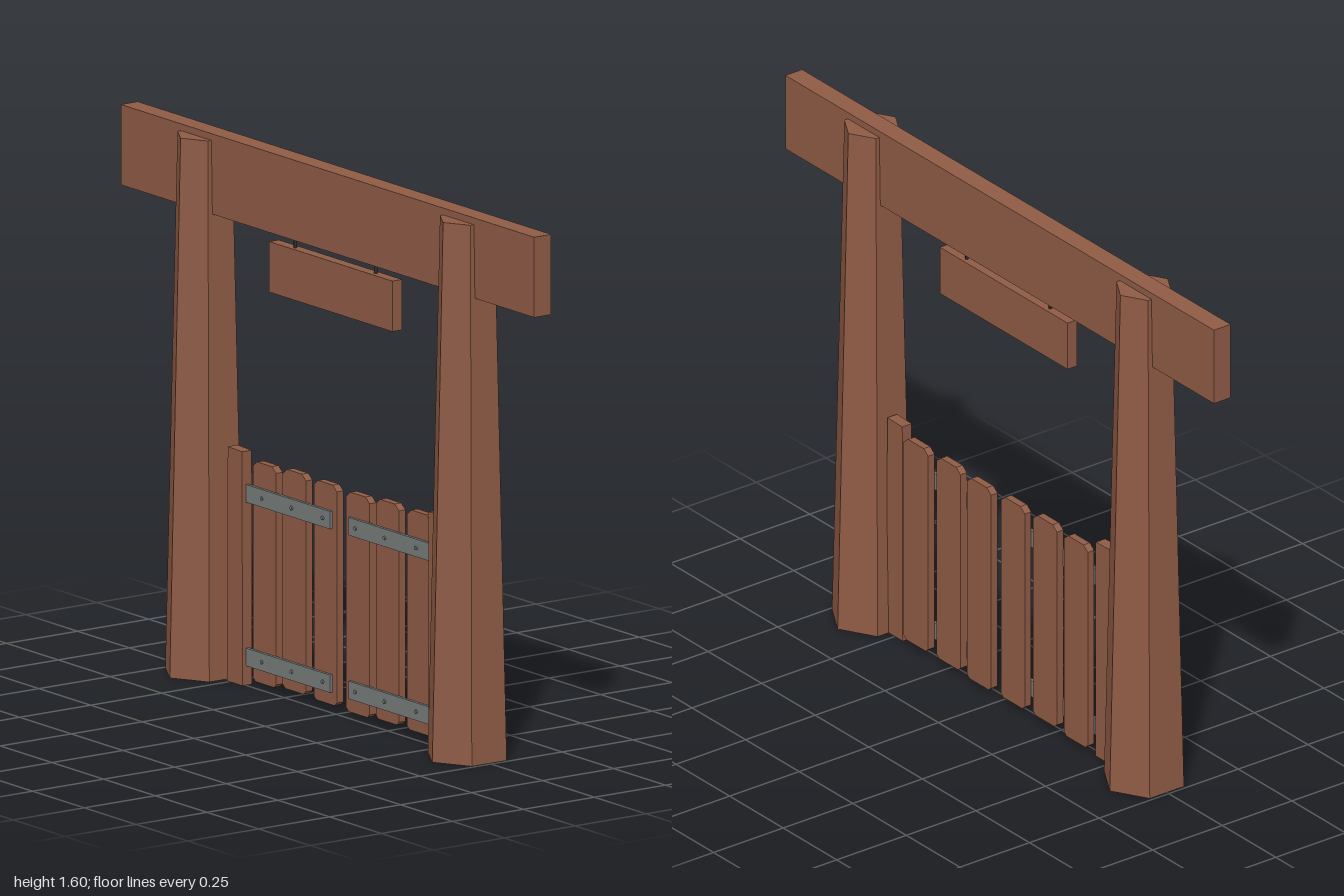
import * as THREE from 'three';

const wood = new THREE.MeshStandardMaterial({ name: 'wood', color: 0x8f5b45 });
const woodOpen = new THREE.MeshStandardMaterial({ name: 'wood', color: 0x8f5b45, side: THREE.DoubleSide });
const iron = new THREE.MeshStandardMaterial({ name: 'iron', color: 0x757c7b });
const dark = new THREE.MeshStandardMaterial({ name: 'darkMetal', color: 0x2b2b2b });

function add(parent, name, geometry, material, x = 0, y = 0, z = 0) {
  const mesh = new THREE.Mesh(geometry, material);
  mesh.name = name;
  mesh.position.set(x, y, z);
  parent.add(mesh);
  return mesh;
}

// Box given by its limits on each axis
function box(parent, name, material, [x0, x1], [y0, y1], [z0, z1]) {
  return add(parent, name, new THREE.BoxGeometry(x1 - x0, y1 - y0, z1 - z0), material,
    (x0 + x1) / 2, (y0 + y1) / 2, (z0 + z1) / 2);
}

// Flat outline extruded between two depths
function slab(parent, name, points, z0, z1) {
  const shape = new THREE.Shape(points.map(([x, y]) => new THREE.Vector2(x, y)));
  const geometry = new THREE.ExtrudeGeometry(shape, { depth: z1 - z0, bevelEnabled: false });
  return add(parent, name, geometry, wood, 0, 0, z0);
}

export function createModel() {
  const model = new THREE.Group();
  model.name = 'gateway';

  // Tapered hexagonal posts, hollow at the foot and capped on top
  const postHeight = 1.575;
  for (const [name, x] of [['leftPost', 0.635], ['rightPost', -0.635]]) {
    const post = new THREE.Group();
    post.name = name;
    post.position.x = x;
    model.add(post);
    const shaft = new THREE.CylinderGeometry(0.085, 0.123, postHeight, 6, 1, true).toNonIndexed();
    shaft.computeVertexNormals();
    add(post, 'shaft', shaft, woodOpen, 0, postHeight / 2, 0);
    const cap = new THREE.CircleGeometry(0.085, 6, Math.PI / 2).rotateX(-Math.PI / 2);
    add(post, 'cap', cap, wood, 0, postHeight, 0);
  }

  // Cross beam and hanging sign board
  box(model, 'crossBeam', wood, [-1, 1], [1.36, 1.595], [-0.03, 0.03]);
  box(model, 'signBoard', wood, [-0.3, 0.296], [1.18, 1.328], [-0.017, 0.017]);
  for (const x of [-0.197, 0.192]) {
    add(model, 'signHanger', new THREE.CylinderGeometry(0.005, 0.005, 0.05, 6), dark, x, 1.347, 0);
  }

  // Side jambs carrying the gate leaves
  slab(model, 'rightJamb', [[-0.511, 0], [-0.436, 0], [-0.438, 0.685], [-0.507, 0.687]], -0.022, 0.012);
  slab(model, 'leftJamb', [[0.463, 0], [0.54, 0], [0.534, 0.687], [0.465, 0.685]], -0.022, 0.012);

  // Each leaf: pickets with clipped corners, two iron straps and bolts
  const leaves = [
    { name: 'rightLeaf', strap: [-0.436, -0.03],
      pickets: [[-0.414, -0.302, 0.016, 0.661], [-0.27, -0.158, 0.024, 0.667], [-0.12, -0.008, 0.02, 0.664]] },
    { name: 'leftLeaf', strap: [0.06, 0.463],
      pickets: [[0.037, 0.15, 0.016, 0.66], [0.18, 0.292, 0.022, 0.667], [0.331, 0.445, 0.02, 0.665]] },
  ];
  for (const { name, strap, pickets } of leaves) {
    const leaf = new THREE.Group();
    leaf.name = name;
    model.add(leaf);
    for (const [x0, x1, y0, y1] of pickets) {
      slab(leaf, 'picket', [
        [x0 + 0.012, y0], [x1 - 0.012, y0], [x1, y0 + 0.01], [x1, y1 - 0.016],
        [x1 - 0.02, y1], [x0 + 0.02, y1], [x0, y1 - 0.016], [x0, y0 + 0.01],
      ], -0.032, -0.009);
    }
    for (const y of [0.083, 0.562]) {
      box(leaf, 'strap', iron, strap, [y - 0.026, y + 0.026], [-0.01, 0]);
      for (const [x0, x1] of pickets) {
        const bolt = new THREE.CylinderGeometry(0.006, 0.006, 0.006, 6).rotateX(Math.PI / 2);
        add(leaf, 'bolt', bolt, iron, (x0 + x1) / 2, y, 0.001);
      }
    }
  }

  return model;
}
